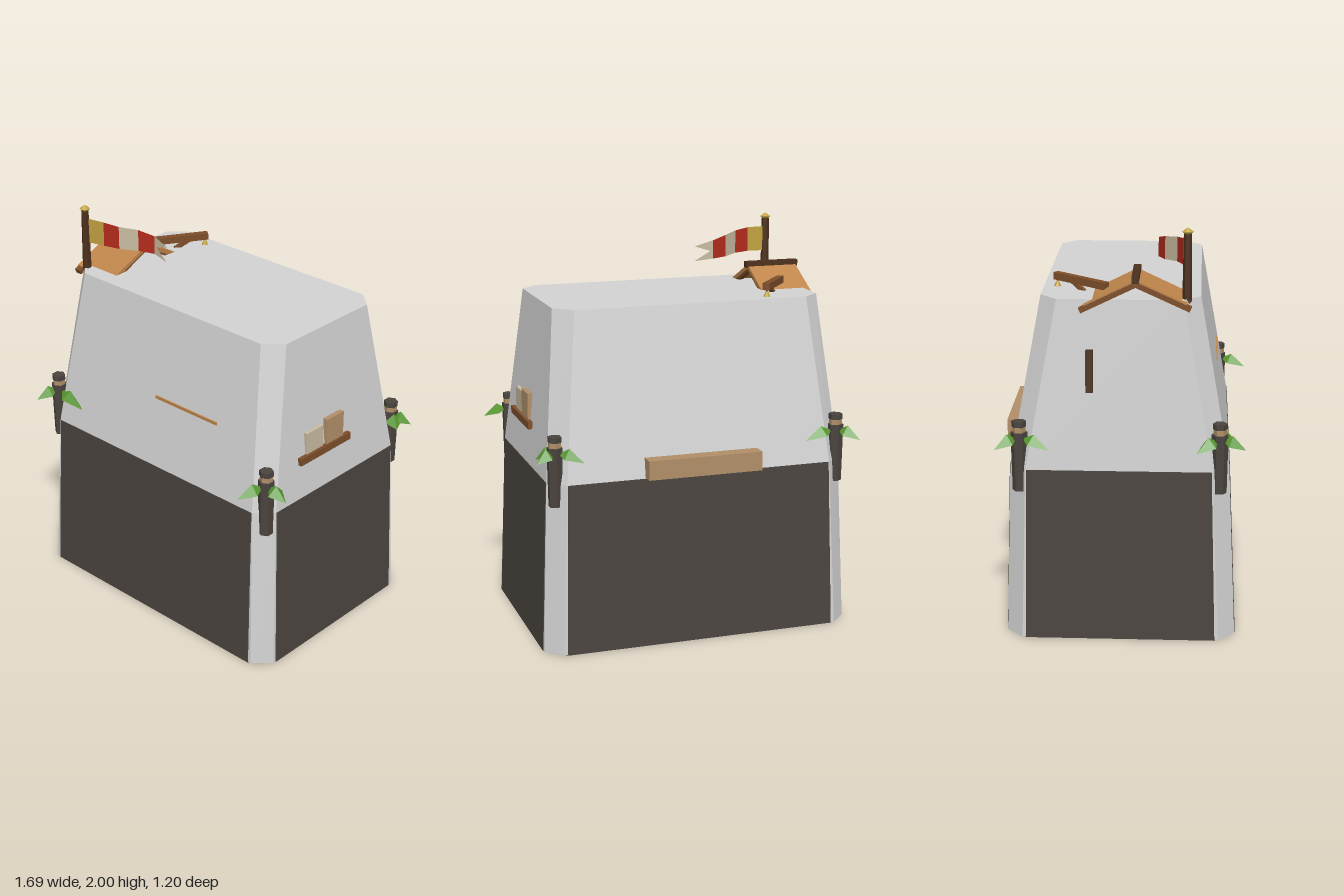
import * as THREE from 'three';

const mat = (name, color, double = false) => {
  const m = new THREE.MeshStandardMaterial({ color, flatShading: true });
  if (double) m.side = THREE.DoubleSide;
  m.name = name;
  return m;
};

// Flat-shaded geometry from a list of triangles (each three Vector3s)
function fromTriangles(tris) {
  const g = new THREE.BufferGeometry().setFromPoints(tris.flat());
  g.computeVertexNormals();
  return g;
}

// Octagonal ring: a rectangle with its corners cut by cx, cz
function ring(y, x0, x1, z0, z1, cx, cz) {
  return [
    [x1, z1 - cz], [x1, z0 + cz], [x1 - cx, z0], [x0 + cx, z0],
    [x0, z0 + cz], [x0, z1 - cz], [x0 + cx, z1], [x1 - cx, z1],
  ].map(([x, z]) => new THREE.Vector3(x, y, z));
}

// Closed solid through a stack of rings
function loft(rings) {
  const tris = [];
  for (let r = 0; r < rings.length - 1; r++) {
    const lo = rings[r], hi = rings[r + 1];
    lo.forEach((a, i) => {
      const j = (i + 1) % lo.length;
      tris.push([a, lo[j], hi[j]], [a, hi[j], hi[i]]);
    });
  }
  const bottom = rings[0], top = rings[rings.length - 1];
  for (let i = 1; i < top.length - 1; i++) {
    tris.push([top[0], top[i], top[i + 1]], [bottom[0], bottom[i + 1], bottom[i]]);
  }
  return fromTriangles(tris);
}

export function createModel() {
  const model = new THREE.Group();
  model.name = 'tower';
  const stone = mat('stone', 0xd2d2d2);
  const darkStone = mat('dark stone', 0x4a443e);
  const roofWood = mat('roof wood', 0xbf854b);
  const wood = mat('wood', 0x7d4e29);
  const darkWood = mat('dark wood', 0x4c301b);
  const tan = mat('tan', 0xb18f68);
  const cream = mat('cream', 0xc8bba0, true);
  const gold = mat('gold', 0xc4a440, true);
  const red = mat('red', 0xb52c1c, true);
  const green = mat('leaf green', 0x56962f, true);

  const add = (name, geo, material, x = 0, y = 0, z = 0, parent = model) => {
    const m = new THREE.Mesh(geo, material);
    m.name = name;
    m.position.set(x, y, z);
    parent.add(m);
    return m;
  };
  // Box given by its extents
  const block = (name, material, x0, x1, y0, y1, z0, z1) =>
    add(name, new THREE.BoxGeometry(x1 - x0, y1 - y0, z1 - z0), material,
      (x0 + x1) / 2, (y0 + y1) / 2, (z0 + z1) / 2);
  // Box stretched between two points
  const beam = (name, material, a, b, w, h) => {
    const A = new THREE.Vector3(...a), B = new THREE.Vector3(...b);
    const mid = A.clone().add(B).multiplyScalar(0.5);
    const m = add(name, new THREE.BoxGeometry(w, h, A.distanceTo(B)), material, mid.x, mid.y, mid.z);
    m.lookAt(B);
    return m;
  };

  // Tapered body with cut corners
  add('body', loft([
    ring(0.003, -0.81, 0.775, -0.575, 0.535, 0.08, 0.08),
    ring(0.85, -0.775, 0.743, -0.55, 0.497, 0.083, 0.08),
    ring(1.665, -0.7, 0.663, -0.4, 0.353, 0.088, 0.08),
  ]), stone);
  // Dark lower walls, standing just proud of the flat sides
  add('lowerWalls', loft([
    ring(0, -0.813, 0.778, -0.578, 0.538, 0.103, 0.103),
    ring(0.85, -0.778, 0.746, -0.553, 0.5, 0.092, 0.09),
  ]), darkStone);

  // Corner posts with a pale collar, a cap and drooping leaves
  const leaf = (parent, dx, dz) => {
    const dir = new THREE.Vector3(dx, 0, dz);
    const side = new THREE.Vector3(-dz, 0, dx).normalize();
    const at = (t, s, y) => dir.clone().multiplyScalar(t).addScaledVector(side, s).setY(y);
    const base = at(0.12, 0, 1.0), ridge = at(0.5, 0, 1.03), tip = at(1, 0, 0.965);
    const l = at(0.45, 0.045, 0.985), r = at(0.45, -0.045, 0.985);
    add('leaf', fromTriangles([[base, l, ridge], [base, ridge, r], [l, tip, ridge], [ridge, tip, r]]),
      green, 0, 0, 0, parent);
  };
  const posts = [
    [-0.743, -0.5, [[-0.087, -0.11], [0.18, -0.045], [-0.085, 0.15]]],
    [0.707, -0.5, [[-0.122, -0.09], [0.1, -0.045], [0.083, 0.05]]],
    [-0.743, 0.45, [[-0.107, -0.11], [-0.04, 0.123], [0.215, 0.04]]],
    [0.707, 0.45, [[0.136, 0.013], [-0.055, 0.145]]],
  ];
  for (const [x, z, leaves] of posts) {
    const g = new THREE.Group();
    g.name = 'cornerPost';
    g.position.set(x, 0, z);
    model.add(g);
    add('shaft', new THREE.CylinderGeometry(0.04, 0.035, 0.29, 6), darkStone, 0, 0.885, 0, g);
    add('collar', new THREE.CylinderGeometry(0.032, 0.032, 0.03, 6), tan, 0, 1.045, 0, g);
    add('cap', new THREE.CylinderGeometry(0.035, 0.035, 0.027, 6), darkStone, 0, 1.07, 0, g);
    leaves.forEach(([dx, dz]) => leaf(g, dx, dz));
  }

  // Side shelf with two boxes
  block('shelf', wood, 0.66, 0.745, 1.03, 1.067, -0.13, 0.24);
  block('paleBox', cream, 0.66, 0.73, 1.067, 1.18, 0.065, 0.187);
  block('tanBox', tan, 0.66, 0.735, 1.067, 1.2, -0.082, 0.043);

  // Back trough, front rail and side plank
  block('backTrough', tan, -0.31, 0.27, 0.855, 0.95, -0.607, -0.5);
  block('frontRail', roofWood, -0.035, 0.375, 1.195, 1.21, 0.41, 0.44);
  beam('sidePlank', darkWood, [-0.745, 1.23, -0.165], [-0.733, 1.43, -0.165], 0.035, 0.03);

  // Small gabled roof
  const ridge = [1.755, 0.05];
  for (const [z, y] of [[0.285, 1.645], [-0.19, 1.635]]) {
    beam('roofSlope', roofWood, [-0.604, ...ridge], [-0.604, y, z], 0.26, 0.02);
    beam('rafter', wood, [-0.718, 1.743, 0.05], [-0.718, y - 0.018, z + Math.sign(z) * 0.02], 0.035, 0.025);
    beam('rafter', wood, [-0.492, 1.743, 0.05], [-0.492, y - 0.012, z], 0.03, 0.02);
  }
  block('ridgeBeam', darkWood, -0.745, -0.463, 1.75, 1.782, 0.032, 0.067);

  // Hoisting arm with brace and bell
  beam('arm', wood, [-0.6, 1.705, -0.09], [-0.42, 1.715, -0.345], 0.035, 0.035);
  beam('armBrace', wood, [-0.525, 1.65, -0.19], [-0.47, 1.705, -0.265], 0.02, 0.02);
  add('bellCord', new THREE.CylinderGeometry(0.004, 0.004, 0.03, 5), darkWood, -0.43, 1.69, -0.335);
  add('bell', new THREE.CylinderGeometry(0.006, 0.018, 0.027, 6), gold, -0.43, 1.677, -0.335);

  // Flagpole with pointed foot and finial
  const px = -0.665, pz = 0.288;
  add('flagpole', new THREE.CylinderGeometry(0.019, 0.023, 0.31, 6), darkWood, px, 1.815, pz);
  add('poleFoot', new THREE.CylinderGeometry(0.023, 0.006, 0.06, 6), wood, px, 1.63, pz);
  add('finial', new THREE.LatheGeometry(
    [[0, 1.955], [0.012, 1.965], [0.027, 1.98], [0, 2]].map(p => new THREE.Vector2(...p)), 6), gold, px, 0, pz);

  // Striped swallow-tailed flag: x, z, bottom y, top y at each seam
  const flag = [
    [-0.655, 0.283, 1.8, 1.928], [-0.557, 0.265, 1.803, 1.928], [-0.477, 0.237, 1.8, 1.918],
    [-0.4, 0.178, 1.793, 1.905], [-0.32, 0.145, 1.79, 1.885],
  ].map(([x, z, lo, hi]) => [new THREE.Vector3(x, lo, z), new THREE.Vector3(x, hi, z)]);
  [gold, red, cream, red].forEach((m, i) => {
    const [a, d] = flag[i], [b, c] = flag[i + 1];
    add('flagStripe', fromTriangles([[a, b, c], [a, c, d]]), m);
  });
  const [lo, hi] = flag[4];
  const notch = new THREE.Vector3(-0.305, 1.83, 0.147);
  add('flagTail', fromTriangles([
    [lo, new THREE.Vector3(-0.222, 1.778, 0.16), notch],
    [notch, new THREE.Vector3(-0.222, 1.856, 0.155), hi],
    [lo, notch, hi],
  ]), cream);

  return model;
}
